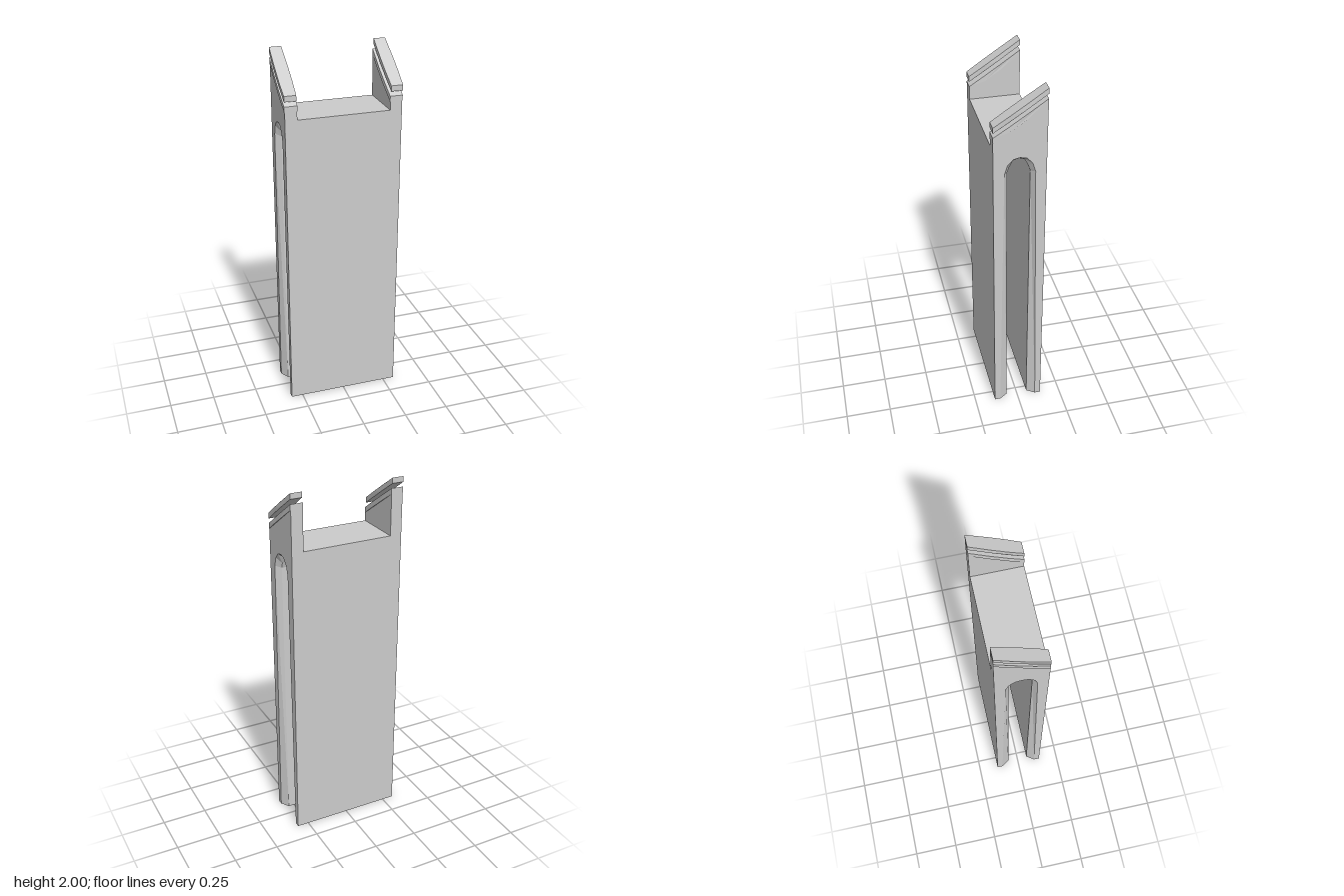
import * as THREE from 'three';

const material = new THREE.MeshStandardMaterial({ color: 0xcccccc, flatShading: true });

// Solid through cross-sections [x, [[z, y], ...]] ordered by rising x.
function loft(sections) {
  const pos = [];
  const put = (s, i) => pos.push(s[0], s[1][i][1], s[1][i][0]);
  const n = sections[0][1].length;
  for (let k = 0; k + 1 < sections.length; k++) {
    const a = sections[k], b = sections[k + 1];
    for (let i = 0; i < n; i++) {
      const j = (i + 1) % n;
      put(a, i); put(a, j); put(b, j);
      put(a, i); put(b, j); put(b, i);
    }
  }
  const cap = (s, flip) => {
    const contour = s[1].map(([z, y]) => new THREE.Vector2(y, z));
    for (const f of THREE.ShapeUtils.triangulateShape(contour, [])) {
      (flip ? [f[2], f[1], f[0]] : f).forEach((i) => put(s, i));
    }
  };
  cap(sections[0], true);
  cap(sections[sections.length - 1], false);
  const g = new THREE.BufferGeometry();
  g.setAttribute('position', new THREE.Float32BufferAttribute(pos, 3));
  g.computeVertexNormals();
  return g;
}

const D = 0.137; // half depth
const SHOULDER = 1.69;

// Block outline with an arched slot; half = points from the foot up to the crown
function archOutline(half) {
  const mirrored = half.slice(0, -1).reverse().map(([z, y]) => [-z, y]);
  return [[-D, 0], [-D, SHOULDER], [D, SHOULDER], [D, 0], ...half, ...mirrored];
}

// Sloping strip, low at the front, given its lower and upper heights at the front
function slopeOutline(low, high) {
  const zs = [-D, -0.03, 0.055, D];
  const rise = (z) => (D - z) * 0.657;
  return [
    ...zs.map((z) => [z, high + rise(z)]),
    ...zs.slice().reverse().map((z) => [z, low + rise(z)]),
  ];
}

// Strip across one post, swelling slightly in the middle of its length
function strip(side, inner, outer, low, high) {
  const xs = [side * inner, side * outer].sort((a, b) => a - b);
  const g = loft(xs.map((x) => [x, slopeOutline(low, high)]));
  const p = g.attributes.position;
  const mid = (xs[0] + xs[1]) / 2;
  for (let i = 0; i < p.count; i++) {
    if (Math.abs(p.getZ(i)) < 0.1) p.setX(i, p.getX(i) + Math.sign(p.getX(i) - mid) * 0.003);
  }
  g.computeVertexNormals();
  return g;
}

export function createModel() {
  const model = new THREE.Group();
  const add = (name, geometry) => {
    const mesh = new THREE.Mesh(geometry, material);
    mesh.name = name;
    model.add(mesh);
  };

  // Tall block with a through slot that flares at both ends
  const inner = archOutline([[0.06, 0], [0.06, 1.54], [0.05, 1.57], [0.03, 1.61], [0, 1.62]]);
  const outer = archOutline([[0.105, 0], [0.08, 1.55], [0.065, 1.6], [0.035, 1.632], [0, 1.64]]);
  add('archedBody', loft([[-0.315, outer], [-0.285, inner], [0.285, inner], [0.315, outer]]));

  for (const [side, label] of [[1, 'left'], [-1, 'right']]) {
    // End wall rising to a sloped top
    const wall = [[-D, SHOULDER], [-D, 1.915], [D, 1.735], [D, SHOULDER]];
    const xs = [side * 0.25, side * 0.315].sort((a, b) => a - b);
    add(label + 'EndWall', loft(xs.map((x) => [x, wall])));
    // Lip on the wall and the rail above it
    add(label + 'Lip', strip(side, 0.248, 0.317, 1.735, 1.765));
    add(label + 'TopRail', strip(side, 0.253, 0.317, 1.79, 1.82));
  }
  return model;
}
